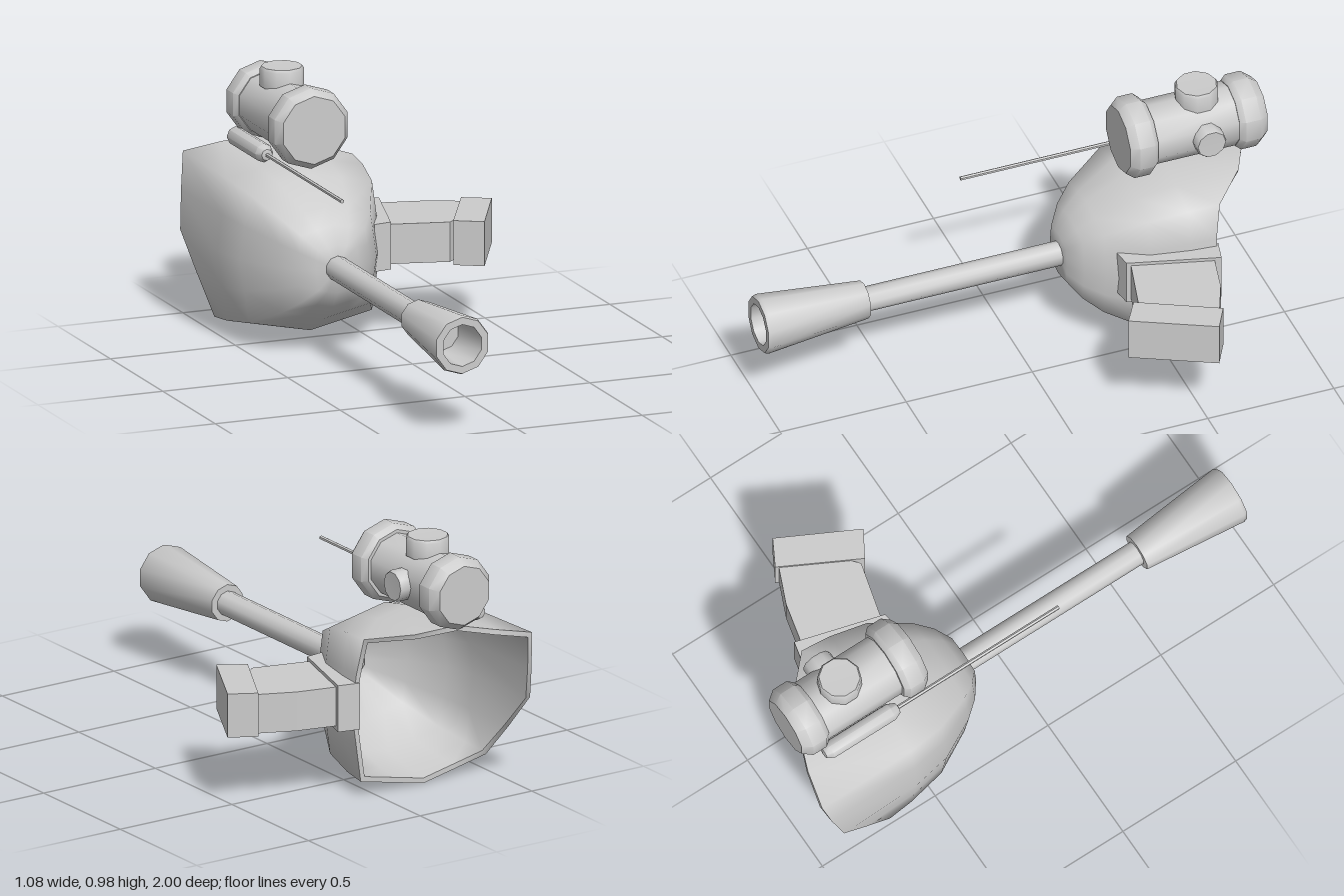
import * as THREE from 'three';
import { toCreasedNormals } from 'three/addons/utils/BufferGeometryUtils.js';

const material = new THREE.MeshStandardMaterial({ color: 0xcccccc, side: THREE.DoubleSide });

function add(parent, name, geometry) {
  const mesh = new THREE.Mesh(geometry, material);
  mesh.name = name;
  parent.add(mesh);
  return mesh;
}

// Turned part: profile of [radius, height] along +y, ten sided
function turned(profile, segments = 10) {
  const points = profile.map(([r, h]) => new THREE.Vector2(r, h));
  return toCreasedNormals(new THREE.LatheGeometry(points, segments), 0.8);
}

// Same, with the axis laid along z at (x, y)
const turnedZ = (profile, x, y, segments) =>
  turned(profile, segments).rotateX(Math.PI / 2).translate(x, y, 0);

// Skin through closed rings of equal point count
function loft(rings) {
  const n = rings[0].length, index = [];
  for (let i = 0; i < rings.length - 1; i++) {
    for (let j = 0; j < n; j++) {
      const k = (j + 1) % n, a = i * n, b = a + n;
      index.push(a + j, b + j, a + k, a + k, b + j, b + k);
    }
  }
  const geometry = new THREE.BufferGeometry();
  geometry.setAttribute('position', new THREE.Float32BufferAttribute(rings.flat(2), 3));
  geometry.setIndex(index);
  geometry.computeVertexNormals();
  return geometry;
}

// Plan outline in [x, z], raised from y0 to y1
function slab(outline, y0, y1) {
  const shape = new THREE.Shape(outline.map(([x, z]) => new THREE.Vector2(x, -z)));
  return new THREE.ExtrudeGeometry(shape, { depth: y1 - y0, bevelEnabled: false })
    .rotateX(-Math.PI / 2).translate(0, y0, 0);
}

function shield() {
  const group = new THREE.Group();
  group.name = 'shield';
  const cx = -0.22, cy = 0.343;
  const corners = [[0.32, 0], [0.28, 0.28], [0, 0.338], [-0.28, 0.28],
    [-0.32, 0], [-0.28, -0.28], [0, -0.34], [-0.28 * -1, -0.28]];
  // Octagon with a midpoint on every side
  const section = corners.flatMap((p, i) => {
    const q = corners[(i + 1) % 8];
    return [p, [(p[0] + q[0]) / 2, (p[1] + q[1]) / 2]];
  });
  // The open back sweeps rearwards on the upper right
  const rimZ = [-0.7, -0.7, -0.72, -0.85, -0.92, -0.97, -1, -0.97,
    -0.93, -0.82, -0.7, -0.7, -0.7, -0.7, -0.7, -0.7];
  const ring = (s, z) => section.map(([x, y], i) =>
    [cx + x * s, cy + y * s, Array.isArray(z) ? z[i] : z]);

  const outerRim = ring(1, rimZ), innerRim = ring(0.94, rimZ);
  add(group, 'shieldOuter', loft([ring(0, -0.19), ring(0.27, -0.19), ring(0.46, -0.235),
    ring(0.63, -0.3), ring(0.88, -0.45), ring(0.97, -0.6), outerRim]));
  add(group, 'shieldRim', loft([outerRim, innerRim]));
  add(group, 'shieldInner', loft([innerRim, ring(0.91, -0.6), ring(0.82, -0.47),
    ring(0.57, -0.33), ring(0.23, -0.24), ring(0, -0.23)]));
  return group;
}

function gun() {
  const group = new THREE.Group();
  group.name = 'gun';
  const x = -0.22, y = 0.345;
  add(group, 'barrel', turnedZ([[0.047, -0.25], [0.047, 0.6]], x, y));
  // Flared muzzle with a bored-out end
  add(group, 'muzzle', turnedZ([[0, 0.58], [0.072, 0.58], [0.113, 0.985], [0.108, 1],
    [0.08, 1], [0.07, 0.8], [0, 0.8]], x, y));
  return group;
}

function launcher() {
  const group = new THREE.Group();
  group.name = 'launcher';
  const x = -0.215, y = 0.813;
  add(group, 'launcherTube', turnedZ([[0.122, -0.9], [0.122, -0.5]], x, y));
  add(group, 'frontCap', turnedZ([[0, -0.535], [0.135, -0.535], [0.154, -0.515],
    [0.154, -0.455], [0.13, -0.425], [0, -0.425]], x, y));
  add(group, 'rearCap', turnedZ([[0, -0.975], [0.115, -0.975], [0.142, -0.94],
    [0.142, -0.88], [0.125, -0.86], [0, -0.86]], x, y));
  const knob = (r, h) => turned([[r, 0], [r, h * 0.85], [r * 0.92, h], [0, h * 0.97]]);
  add(group, 'topKnob', knob(0.083, 0.075)).position.set(x, 0.91, -0.735);
  const side = add(group, 'sideKnob', knob(0.06, 0.055));
  side.rotation.z = -Math.PI / 2;
  side.position.set(-0.112, y, -0.735);
  return group;
}

function antenna() {
  const group = new THREE.Group();
  group.name = 'antenna';
  add(group, 'antennaPod', turnedZ([[0, -0.895], [0.022, -0.89], [0.036, -0.865],
    [0.036, -0.595], [0.022, -0.565], [0, -0.56]], -0.345, 0.698, 8));
  add(group, 'antennaRod', turnedZ([[0, -0.57], [0.008, -0.57], [0.008, 0.15], [0, 0.15]],
    -0.345, 0.698, 6));
  return group;
}

function sideArm() {
  const group = new THREE.Group();
  group.name = 'sideArm';
  add(group, 'armMount', slab([[-0.01, -0.34], [0.06, -0.35], [0.155, -0.69], [0.07, -0.71]], 0.272, 0.453));
  add(group, 'armLink', slab([[0.05, -0.37], [0.28, -0.31], [0.36, -0.38], [0.44, -0.57],
    [0.3, -0.63], [0.13, -0.67]], 0.288, 0.44));
  add(group, 'armEnd', slab([[0.285, -0.29], [0.385, -0.23], [0.54, -0.53], [0.44, -0.585]], 0.28, 0.45));
  return group;
}

export function createModel() {
  const model = new THREE.Group();
  model.name = 'weaponArm';
  model.add(shield(), gun(), launcher(), antenna(), sideArm());
  return model;
}
